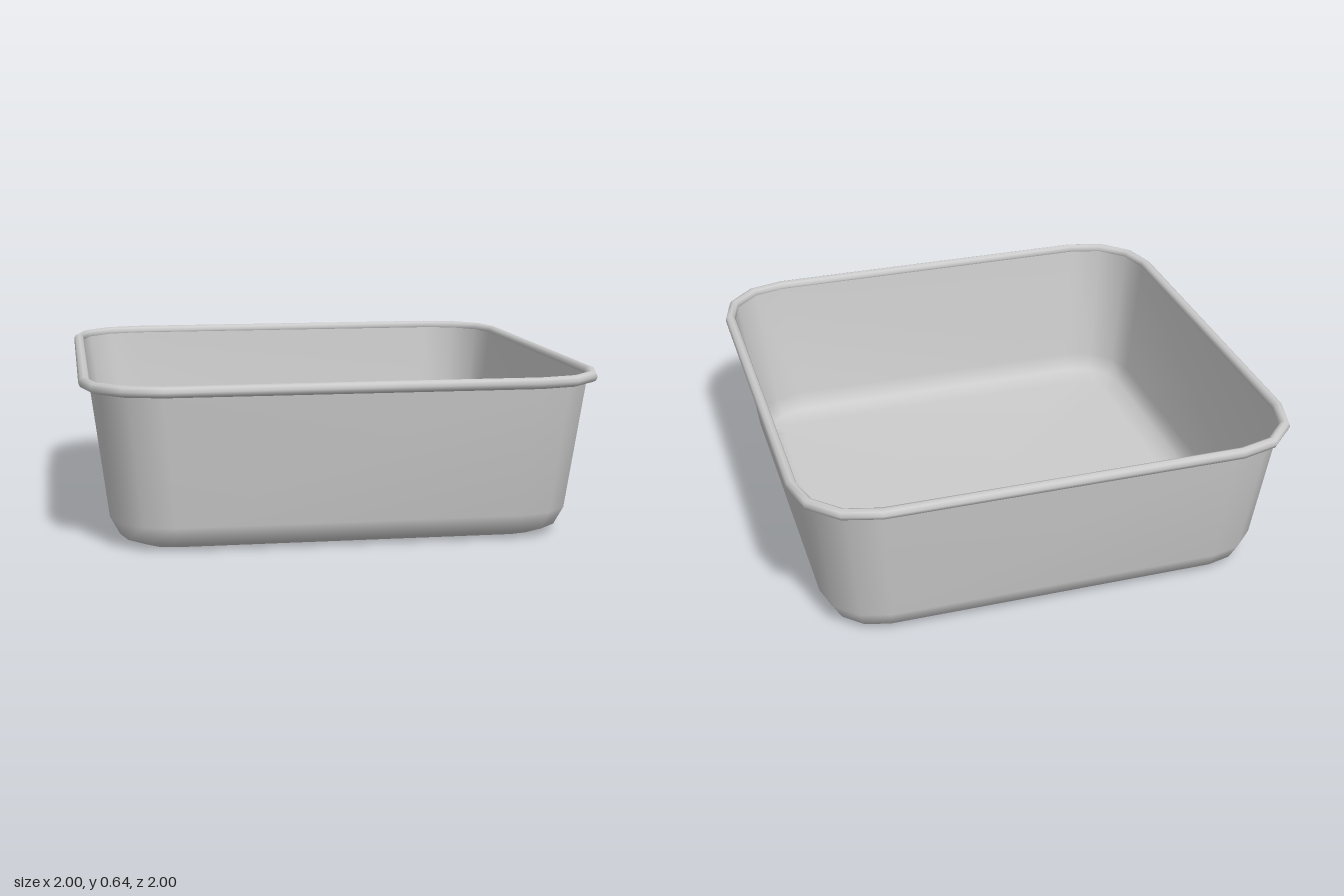
import * as THREE from 'three';

const CORNER_STEPS = 3;

// Rounded-square outline: half width, corner-centre offset, height
function outline(half, centre, y) {
  const points = [];
  for (let corner = 0; corner < 4; corner++) {
    const mid = Math.PI / 4 + corner * Math.PI / 2;
    const cx = Math.sign(Math.cos(mid)) * centre;
    const cz = Math.sign(Math.sin(mid)) * centre;
    for (let s = 0; s <= CORNER_STEPS; s++) {
      const a = (corner + s / CORNER_STEPS) * Math.PI / 2;
      const r = half - centre;
      points.push([cx + r * Math.cos(a), y, cz + r * Math.sin(a)]);
    }
  }
  return points;
}

// Skin a stack of outlines; optionally join last to first, or close the bottom
function loft(rings, { closed = false, floor = false } = {}) {
  const n = rings[0].length;
  const positions = rings.flat(2);
  const index = [];
  const last = closed ? rings.length : rings.length - 1;
  for (let i = 0; i < last; i++) {
    const next = (i + 1) % rings.length;
    for (let j = 0; j < n; j++) {
      const k = (j + 1) % n;
      const a = i * n + j, b = i * n + k, c = next * n + k, d = next * n + j;
      index.push(a, d, b, b, d, c);
    }
  }
  if (floor) {
    const centre = positions.length / 3;
    positions.push(0, rings[0][0][1], 0);
    for (let j = 0; j < n; j++) index.push(centre, j, (j + 1) % n);
  }
  const geometry = new THREE.BufferGeometry();
  geometry.setAttribute('position', new THREE.Float32BufferAttribute(positions, 3));
  geometry.setIndex(index);
  geometry.computeVertexNormals();
  return geometry;
}

export function createModel() {
  const group = new THREE.Group();
  group.name = 'squarePan';
  const material = new THREE.MeshStandardMaterial({ color: 0xcccccc, side: THREE.DoubleSide });

  // Thin tapered basin with a bevelled base
  const profile = [[0.78, 0.65, 0], [0.855, 0.66, 0.03], [0.893, 0.66, 0.1], [0.96, 0.7, 0.622]];
  const basin = new THREE.Mesh(
    loft(profile.map(([half, centre, y]) => outline(half, centre, y)), { floor: true }),
    material
  );
  basin.name = 'basin';

  // Rolled rim swept around the top edge
  const rimRadius = 0.022, rimSides = 8;
  const rimRings = [];
  for (let i = 0; i < rimSides; i++) {
    const a = (i / rimSides) * Math.PI * 2;
    rimRings.push(outline(0.978 + rimRadius * Math.cos(a), 0.7, 0.622 + rimRadius * Math.sin(a)));
  }
  const rim = new THREE.Mesh(loft(rimRings, { closed: true }), material);
  rim.name = 'rolledRim';

  group.add(basin, rim);
  return group;
}
